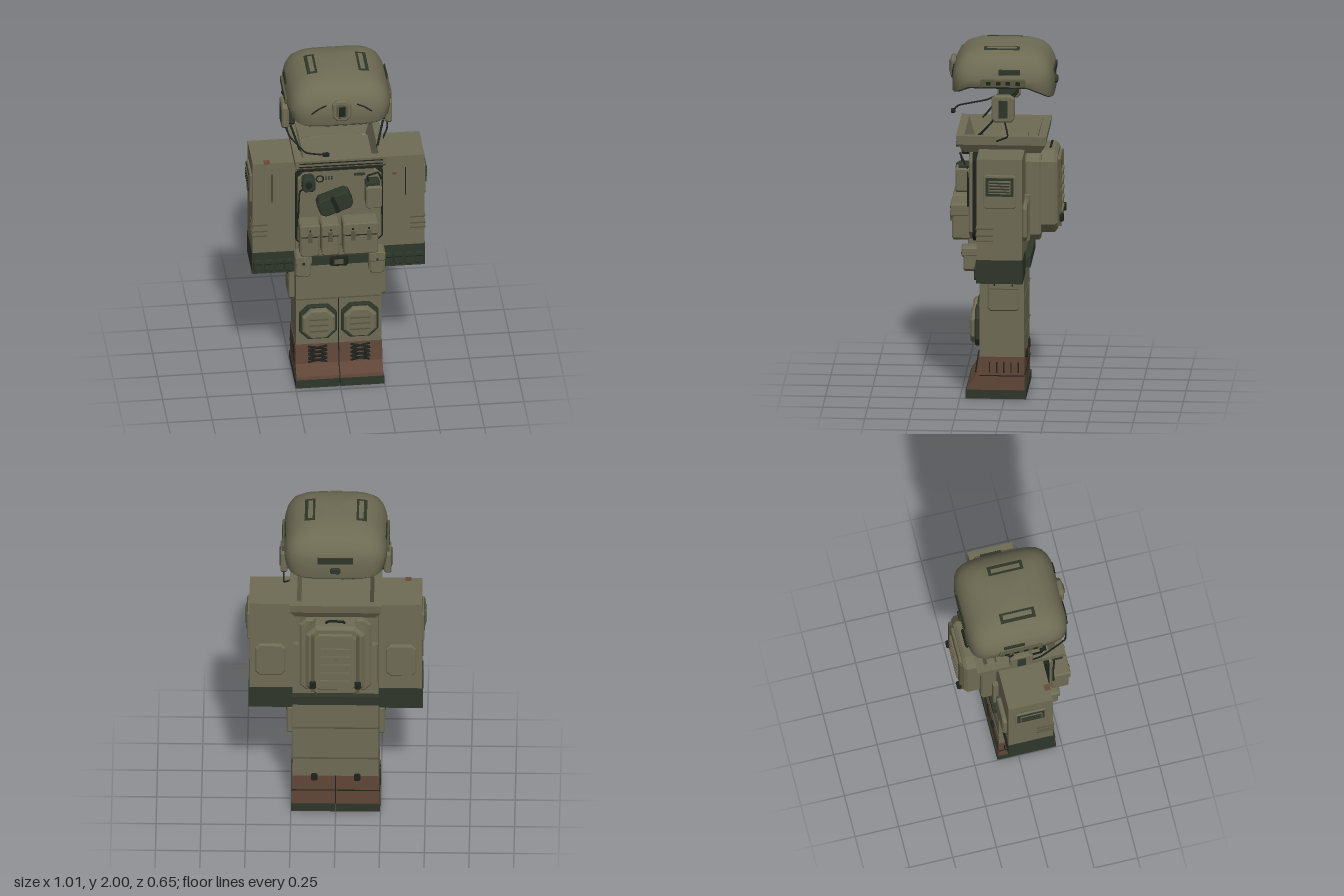
import * as THREE from 'three';

const mat = (name, color, side = THREE.FrontSide) => {
  const m = new THREE.MeshStandardMaterial({ color, side });
  m.name = name;
  return m;
};

export function createModel() {
  const root = new THREE.Group();
  root.name = 'soldierOutfit';
  const khaki = mat('khaki', 0x6e6b54), shade = mat('darkKhaki', 0x57563f), green = mat('darkGreen', 0x2e3629);
  const black = mat('wireBlack', 0x1e221c), brown = mat('bootBrown', 0x5f4637), rust = mat('rust', 0x6b4a38);

  const add = (name, geo, m) => {
    const mesh = new THREE.Mesh(geo, m);
    mesh.name = name;
    root.add(mesh);
    return mesh;
  };
  // box given by its extents
  const box = (name, m, x0, x1, y0, y1, z0, z1) => {
    const g = new THREE.BoxGeometry(Math.abs(x1 - x0), y1 - y0, Math.abs(z1 - z0));
    g.translate((x0 + x1) / 2, (y0 + y1) / 2, (z0 + z1) / 2);
    return add(name, g, m);
  };
  // plate with cut corners and bevelled rim, growing along its facing direction
  const plate = (name, m, x, y, z, w, h, d, cut = 0.02, b = 0.008, rotY = 0) => {
    const X = w / 2 - b, Y = h / 2 - b, c = cut;
    const s = new THREE.Shape([[X - c, -Y], [X, c - Y], [X, Y - c], [X - c, Y], [c - X, Y], [-X, Y - c], [-X, c - Y], [c - X, -Y]]
      .map(p => new THREE.Vector2(...p)));
    const g = new THREE.ExtrudeGeometry(s, { depth: d - 2 * b, bevelEnabled: true, bevelSize: b, bevelThickness: b, bevelSegments: 1 });
    g.translate(0, 0, b);
    const mesh = add(name, g, m);
    mesh.position.set(x, y, z);
    mesh.rotation.y = rotY;
    return mesh;
  };
  const wire = (name, pts, r = 0.005, m = black) => add(name, new THREE.TubeGeometry(
    new THREE.CatmullRomCurve3(pts.map(p => new THREE.Vector3(...p)), false, 'catmullrom', 0.2), 24, r, 6), m);
  // skin over a stack of closed loops
  const loft = (rings, smooth) => {
    const n = rings[0].length, idx = [];
    for (let j = 0; j < rings.length - 1; j++) for (let i = 0; i < n; i++) {
      const a = j * n + i, b = j * n + (i + 1) % n;
      idx.push(a, b, b + n, a, b + n, a + n);
    }
    let g = new THREE.BufferGeometry();
    g.setAttribute('position', new THREE.Float32BufferAttribute(rings.flat(2), 3));
    g.setIndex(idx);
    if (!smooth) g = g.toNonIndexed();
    g.computeVertexNormals();
    return g;
  };
  const interp = (table, v) => {
    let i = 0;
    while (i < table.length - 2 && v > table[i + 1][0]) i++;
    const [a, b] = [table[i], table[i + 1]];
    return a[1] + (b[1] - a[1]) * THREE.MathUtils.clamp((v - a[0]) / (b[0] - a[0]), 0, 1);
  };
  const HP = Math.PI / 2;

  // ---- helmet shell: rounded-square loops with an arched rim
  const HX = 0.288, HZ = 0.284, ZC = 0.014, N = 5;
  const dome = [[0, 2], [0.3, 1.998], [0.6, 1.985], [0.78, 1.96], [0.9, 1.925], [0.965, 1.885], [1, 1.84]];
  const rimTable = [[-0.27, 1.725], [-0.2, 1.77], [-0.13, 1.8], [0.2, 1.8], [0.298, 1.75]];
  const loop = (scale, inset, yOf) => Array.from({ length: 64 }, (_, i) => {
    const a = i / 64 * Math.PI * 2, c = Math.cos(a), s = Math.sin(a);
    const k = scale / Math.pow(Math.abs(c) ** N + Math.abs(s) ** N, 1 / N);
    const x = (HX - inset) * c * k, z = ZC - (HZ - inset) * s * k;
    return [x, yOf(x, z), z];
  });
  const rimY = (x, z) => interp(rimTable, z);
  const inner = dome.map(([s, y]) => loop(s, 0.018, () => y - 0.018));
  const outer = [...dome].reverse().map(([s, y]) => loop(s, 0, () => y));
  add('helmetShell', loft([...inner, loop(1, 0.018, rimY), loop(1, 0, rimY), ...outer], true), khaki);
  add('helmetRim', new THREE.TubeGeometry(new THREE.CatmullRomCurve3(
    loop(1, 0.008, rimY).map(p => new THREE.Vector3(...p)), true), 96, 0.009, 6, true), green);
  // painted panels hugging the dome
  const domeY = (x, z) => interp(dome, (Math.abs(x / HX) ** N + Math.abs((z - ZC) / HZ) ** N) ** (1 / N));
  const domePatch = (name, m, x, z, w, d, lift) => {
    const g = new THREE.PlaneGeometry(w, d, 6, 10).rotateX(-HP).translate(x, 0, z), p = g.attributes.position;
    for (let i = 0; i < p.count; i++) p.setY(i, domeY(p.getX(i), p.getZ(i)) + lift);
    g.computeVertexNormals();
    add(name, g, m);
  };
  for (const s of [-1, 1]) {
    domePatch('helmetTopVent', green, s * 0.145, 0.02, 0.058, 0.2, 0.003);
    domePatch('helmetTopVentInset', khaki, s * 0.142, 0.02, 0.026, 0.165, 0.005);
    plate('helmetSideRail', shade, s * 0.285, 1.825, 0.005, 0.25, 0.045, 0.014, 0.005, 0.003, s * HP);
    for (let i = 0; i < 4; i++) box('railSlot', black, s * 0.297, s * 0.301, 1.815, 1.835, -0.09 + i * 0.055, -0.065 + i * 0.055);
    plate('helmetSidePatch', green, s * 0.279, 1.885, -0.03, 0.12, 0.032, 0.008, 0.002, 0.002, s * HP);
    wire('helmetCrease', [[s * 0.17, 1.83, 0.296], [s * 0.13, 1.86, 0.295], [s * 0.085, 1.88, 0.292]], 0.004);
  }
  plate('helmetFrontMount', khaki, 0, 1.85, 0.285, 0.106, 0.13, 0.028, 0.02);
  plate('mountFrame', shade, 0, 1.85, 0.312, 0.06, 0.085, 0.006, 0.01, 0.002);
  box('mountSocket', black, -0.018, 0.018, 1.82, 1.88, 0.316, 0.322);
  box('helmetBackPatch', green, -0.1, 0.1, 1.83, 1.87, -0.274, -0.266);
  plate('helmetBackKnob', green, 0, 1.785, -0.265, 0.06, 0.035, 0.02, 0.008, 0.004, Math.PI);

  // ---- headset and chin straps
  for (const s of [-1, 1]) {
    plate('earCup', khaki, s * 0.27, 1.68, 0.005, 0.13, 0.155, 0.04, 0.015, 0.008, s * HP);
    plate('earPad', green, s * 0.235, 1.685, 0.005, 0.11, 0.14, 0.04, 0.02, 0.006, s * HP);
    box('earCupInset', green, s * 0.309, s * 0.314, 1.63, 1.73, -0.02, 0.028);
    wire('earArm', [[s * 0.28, 1.75, -0.03], [s * 0.295, 1.77, -0.06], [s * 0.275, 1.81, -0.09]]);
    wire('chinStrap', [[s * 0.26, 1.62, 0.05], [s * 0.245, 1.58, 0.08], [s * 0.215, 1.5, 0.15]], 0.006);
  }
  wire('microphoneBoom', [[-0.29, 1.62, 0.06], [-0.27, 1.59, 0.13], [-0.2, 1.575, 0.28], [-0.11, 1.57, 0.305]]);
  plate('microphone', black, -0.09, 1.57, 0.295, 0.04, 0.022, 0.024, 0.005, 0.004);
  wire('headsetCable', [[0.29, 1.62, 0], [0.29, 1.52, -0.02], [0.25, 1.48, 0.05]]);

  // ---- collar ring
  const rect = (x, z0, z1, y) => [[x, y, z1], [x, y, z0], [-x, y, z0], [-x, y, z1]];
  add('collar', loft([rect(0.185, -0.16, 0.19, 1.41), rect(0.222, -0.2, 0.22, 1.41), rect(0.255, -0.23, 0.265, 1.46),
    rect(0.258, -0.235, 0.27, 1.51), rect(0.215, -0.19, 0.225, 1.51), rect(0.185, -0.16, 0.19, 1.41)]), khaki);
  for (const y of [1.445, 1.468, 1.49]) box('collarGroove', black, -0.235, 0.235, y, y + 0.006, 0.255, 0.271);

  // ---- torso, arms and gloves
  box('torso', khaki, -0.24, 0.24, 0.72, 1.43, -0.11, 0.14);
  for (const s of [-1, 1]) {
    box('arm', khaki, s * 0.242, s * 0.482, 0.855, 1.433, -0.113, 0.142);
    box('glove', green, s * 0.242, s * 0.486, 0.72, 0.855, -0.116, 0.145);
    for (let i = 0; i < 4; i++) {
      const x = s * (0.277 + i * 0.058);
      plate('knucklePlate', green, x, 0.772, 0.14, 0.052, 0.075, 0.016, 0.01, 0.004);
      box('knuckleGap', black, x - 0.02, x + 0.02, 0.782, 0.787, 0.15, 0.158);
    }
    plate('armPatch', khaki, s * 0.48, 1.25, 0.012, 0.18, 0.19, 0.014, 0.008, 0.004, s * HP);
    box('patchField', green, s * 0.493, s * 0.498, 1.225, 1.33, -0.065, 0.09);
    box('patchFrame', khaki, s * 0.496, s * 0.501, 1.24, 1.315, -0.05, 0.075);
    for (let i = 0; i < 4; i++) box('patchStripe', green, s * 0.5, s * 0.504, 1.247 + i * 0.017, 1.255 + i * 0.017, -0.045, 0.07);
    plate('elbowPad', khaki, s * 0.365, 1.06, -0.11, 0.17, 0.21, 0.028, 0.02, 0.008, Math.PI);
    box('sleeveSeam', black, s * 0.372, s * 0.377, 1.18, 1.36, 0.14, 0.146);
    for (const y of [0.96, 0.99, 1.03]) {
      box('sleeveFold', shade, s * 0.4, s * 0.487, y, y + 0.007, 0.05, 0.147);
    }
  }
  box('sleeveStain', rust, 0.3, 0.325, 1.315, 1.33, 0.14, 0.145);
  box('shoulderStain', rust, -0.42, -0.385, 1.43, 1.436, 0.11, 0.144);

  // ---- belt
  box('belt', green, -0.242, 0.242, 0.757, 0.812, -0.145, 0.152);
  plate('buckle', black, 0, 0.783, 0.15, 0.105, 0.06, 0.018, 0.01, 0.004);
  box('buckleInset', shade, -0.025, 0.025, 0.768, 0.798, 0.166, 0.171);
  for (const s of [-1, 1]) {
    plate('beltPouch', khaki, s * 0.207, 0.8, 0.14, 0.088, 0.14, 0.09, 0.01, 0.008);
    plate('beltPouchFlap', khaki, s * 0.207, 0.842, 0.15, 0.092, 0.06, 0.09, 0.008, 0.005);
    box('flapSnap', black, s * 0.207 - 0.006, s * 0.207 + 0.006, 0.82, 0.832, 0.239, 0.244);
  }

  // ---- chest rig
  plate('rigEdge', black, 0, 1.155, 0.14, 0.49, 0.52, 0.04, 0.045, 0.006);
  plate('chestRig', khaki, 0, 1.155, 0.15, 0.47, 0.5, 0.05, 0.045, 0.008);
  for (const [x, w] of [[-0.178, 0.108], [-0.062, 0.1], [0.108, 0.195]]) {
    plate('chestPouch', khaki, x, 1.0, 0.195, w, 0.2, 0.1, 0.008, 0.008);
    plate('chestPouchFlap', khaki, x, 1.07, 0.2, w + 0.006, 0.075, 0.105, 0.006, 0.005);
    box('pouchShadowLine', black, x - w * 0.45, x + w * 0.45, 1.026, 1.031, 0.29, 0.298);
    const tabs = w > 0.15 ? [-0.045, 0.045] : [0];
    for (const t of tabs) {
      box('pouchTab', shade, x + t - 0.012, x + t + 0.012, 1.0, 1.06, 0.295, 0.309);
      box('pouchSnap', black, x + t - 0.005, x + t + 0.005, 1.07, 1.08, 0.3, 0.309);
    }
  }
  const device = plate('chestDevice', green, -0.035, 1.225, 0.2, 0.195, 0.11, 0.085, 0.018, 0.008);
  device.rotation.z = 0.36;
  const strip = box('deviceBand', black, -0.012, 0.012, -0.053, 0.053, 0.08, 0.088);
  strip.position.copy(device.position);
  strip.rotation.z = 0.36;
  plate('pushToTalkBox', green, -0.18, 1.345, 0.195, 0.072, 0.085, 0.07, 0.012, 0.006);
  plate('talkButton', black, -0.18, 1.35, 0.26, 0.035, 0.04, 0.01, 0.008, 0.002);
  wire('talkCable', [[-0.19, 1.31, 0.22], [-0.225, 1.28, 0.21], [-0.23, 1.2, 0.205], [-0.235, 1.05, 0.205]]);
  plate('radio', khaki, 0.185, 1.25, 0.195, 0.09, 0.14, 0.08, 0.008, 0.006);
  plate('radioTop', green, 0.18, 1.325, 0.195, 0.08, 0.035, 0.065, 0.008, 0.004);
  wire('radioCable', [[0.16, 1.33, 0.24], [0.15, 1.38, 0.25], [0.21, 1.4, 0.25], [0.23, 1.34, 0.22]]);
  wire('rigCable', [[0.215, 1.33, 0.21], [0.236, 1.26, 0.205], [0.236, 1.1, 0.205]]);
  const ring = add('chestRing', new THREE.TorusGeometry(0.02, 0.004, 6, 16), black);
  ring.position.set(-0.112, 1.35, 0.202);
  box('chestStrap', green, 0.08, 0.14, 1.36, 1.375, 0.198, 0.206);
  for (let i = 0; i < 6; i++) box('chestDash', black, -0.08 + (i % 3) * 0.015, -0.071 + (i % 3) * 0.015,
    1.343 + Math.floor(i / 3) * 0.013, 1.349 + Math.floor(i / 3) * 0.013, 0.198, 0.203);

  // ---- backpack
  plate('packBase', khaki, 0, 1.145, -0.11, 0.4, 0.49, 0.09, 0.03, 0.01, Math.PI);
  plate('packBody', khaki, 0, 1.165, -0.18, 0.33, 0.47, 0.11, 0.045, 0.018, Math.PI);
  plate('packPanel', khaki, 0, 1.17, -0.285, 0.25, 0.38, 0.02, 0.03, 0.006, Math.PI);
  for (let i = 0; i < 5; i++) {
    const y = 1.03 + i * 0.055;
    box('packRib', khaki, -0.085, 0.085, y, y + 0.018, -0.3, -0.315);
    box('packRibGap', black, -0.085, 0.085, y - 0.006, y, -0.3, -0.307);
  }
  for (const s of [-1, 1]) {
    box('packStrap', shade, s * 0.115, s * 0.135, 0.97, 1.35, -0.285, -0.31);
    plate('packBuckle', black, s * 0.125, 1.02, -0.3, 0.036, 0.045, 0.024, 0.006, 0.004, Math.PI);
    box('packSideRail', khaki, s * 0.205, s * 0.235, 0.91, 1.17, -0.11, -0.14);
  }
  wire('packHandle', [[-0.05, 1.385, -0.24], [-0.045, 1.415, -0.25], [0.045, 1.415, -0.25], [0.05, 1.385, -0.24]], 0.007);

  // ---- trousers
  box('trousers', khaki, -0.24, 0.24, 0.24, 0.72, -0.11, 0.14);
  box('legSeamFront', black, -0.003, 0.003, 0.24, 0.53, 0.138, 0.143);
  for (const y of [0.36, 0.57]) box('trouserSeamBack', shade, -0.24, 0.24, y, y + 0.008, -0.107, -0.115);
  box('trouserSeamFront', shade, -0.24, 0.24, 0.53, 0.536, 0.137, 0.145);
  for (const s of [-1, 1]) {
    plate('kneePadBacking', green, s * 0.117, 0.393, 0.138, 0.21, 0.215, 0.03, 0.045, 0.006);
    plate('kneePad', khaki, s * 0.117, 0.393, 0.155, 0.182, 0.188, 0.04, 0.04, 0.012);
    for (let i = 0; i < 3; i++) box('kneeRib', shade, s * 0.117 - 0.055, s * 0.117 + 0.055, 0.35 + i * 0.037, 0.357 + i * 0.037, 0.19, 0.2);
    plate('thighPocket', khaki, s * 0.238, 0.605, 0.005, 0.175, 0.19, 0.036, 0.008, 0.008, s * HP);
    box('pocketFlapLine', shade, s * 0.27, s * 0.277, 0.635, 0.64, -0.075, 0.085);
    for (const z of [-0.045, 0.055]) box('pocketSnap', black, s * 0.27, s * 0.278, 0.655, 0.666, z - 0.005, z + 0.005);
  }

  // ---- boots: side profile extruded across each foot
  const profile = new THREE.Shape([[-0.112, 0.045], [0.213, 0.045], [0.208, 0.068], [0.16, 0.125], [0.145, 0.24], [-0.112, 0.24]]
    .map(p => new THREE.Vector2(...p)));
  for (const s of [-1, 1]) {
    const g = new THREE.ExtrudeGeometry(profile, { depth: 0.241, bevelEnabled: false });
    g.rotateY(-HP).translate(s > 0 ? 0.244 : -0.003, 0, 0);
    add('boot', g, brown);
    box('sole', green, s * 0.002, s * 0.248, 0, 0.05, -0.12, 0.217);
    box('bootSeamSide', black, s * 0.242, s * 0.248, 0.13, 0.135, -0.11, 0.14);
    box('bootSeamBack', black, s * 0.005, s * 0.244, 0.14, 0.145, -0.11, -0.116);
    plate('heelTab', black, s * 0.12, 0.235, -0.105, 0.035, 0.045, 0.018, 0.006, 0.003, Math.PI);
    for (let i = 0; i < 5; i++) box('bootSlot', black, s * 0.243, s * 0.248, 0.15, 0.21, -0.08 + i * 0.04, -0.073 + i * 0.04);
    for (let i = 0; i < 4; i++) {
      const y = 0.135 + i * 0.024, z = 0.163 - i * 0.004, x = s * 0.12;
      wire('lace', [[x - 0.055, y, z], [x + 0.055, y + 0.024, z]], 0.006);
      wire('lace', [[x + 0.055, y, z], [x - 0.055, y + 0.024, z]], 0.006);
    }
  }
  box('bootGap', black, -0.003, 0.003, 0.05, 0.24, -0.114, 0.147);
  return root;
}
